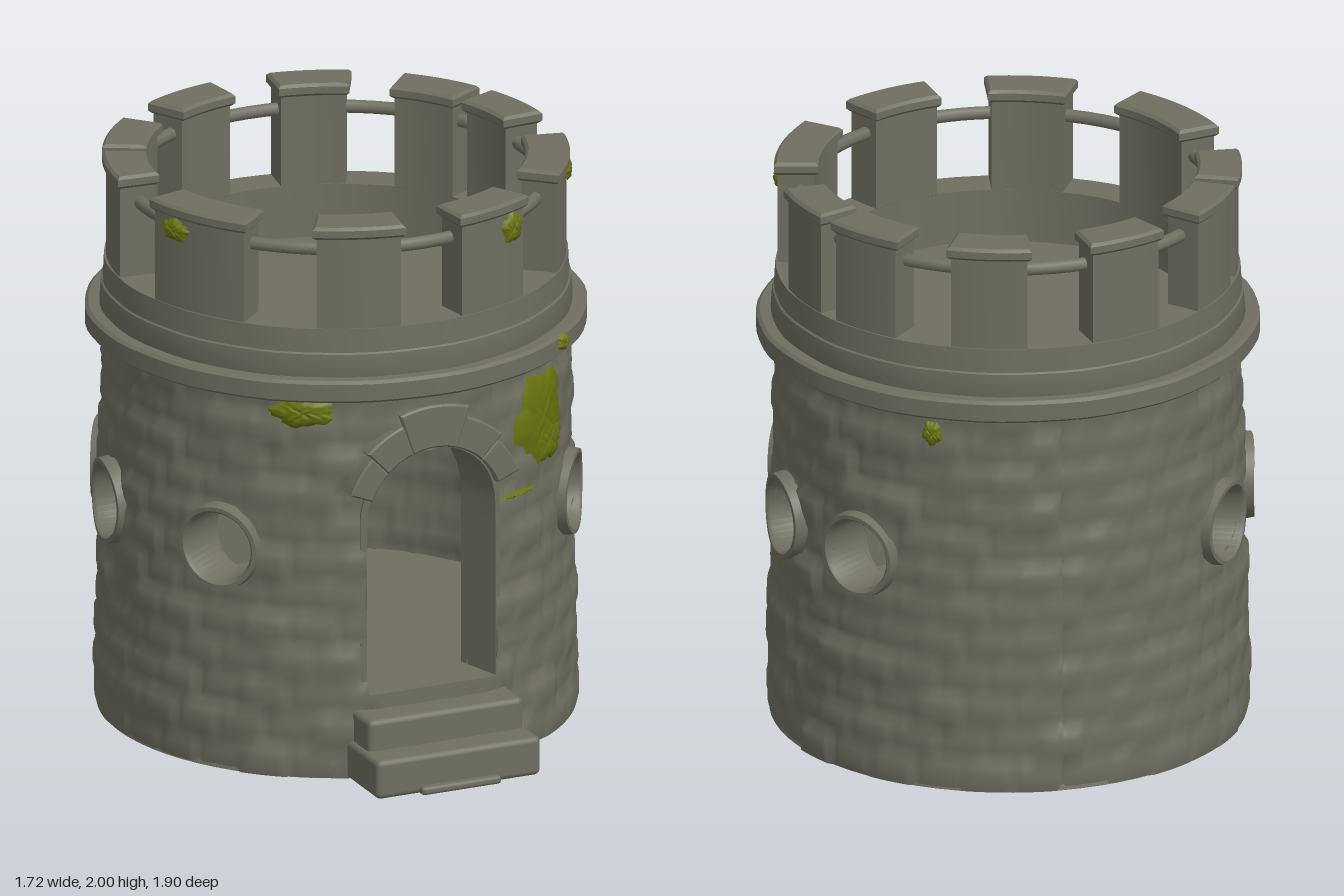
import * as THREE from 'three';
import { toCreasedNormals } from 'three/addons/utils/BufferGeometryUtils.js';
import { RoundedBoxGeometry } from 'three/addons/geometries/RoundedBoxGeometry.js';

const stone = new THREE.MeshStandardMaterial({ color: 0x6f6e60, side: THREE.DoubleSide });
stone.name = 'stone';
const moss = new THREE.MeshStandardMaterial({ color: 0x69730f, side: THREE.DoubleSide });
moss.name = 'moss';

const rad = THREE.MathUtils.degToRad;
const R = 0.82, COLS = 240, ROWS = 46, WALL_TOP = 1.38;
const hash = (a, b) => { const s = Math.sin(a * 127.1 + b * 311.7) * 43758.5453; return s - Math.floor(s); };

// Openings, in unrolled wall coordinates (arc length, height)
const WINDOW_Y = 0.81, WINDOW_R = 0.125;
const windows = [54, 97, 128].flatMap(a => [a, -a]).map(a => rad(a) * R);
const DOOR_W = 0.248, DOOR_Y = 0.3, DOOR_SPRING = 0.925;

// Moves a point lying in an opening to that opening's edge
function snap(u, y) {
  for (const w of windows) {
    const du = u - w, dy = y - WINDOW_Y, d = Math.hypot(du, dy);
    if (d < WINDOW_R) {
      const k = WINDOW_R / (d || 1);
      return { u: w + du * k, y: WINDOW_Y + dy * k, inside: true };
    }
  }
  if (Math.abs(u) < DOOR_W && y > DOOR_Y - 0.001) {
    const dy = y - DOOR_SPRING, d = Math.hypot(u, dy);
    if (y < DOOR_Y + 0.001) return { u, y, inside: true };
    if (dy <= 0) return { u: Math.sign(u || 1) * DOOR_W, y, inside: true };
    if (d < DOOR_W) return { u: u * DOOR_W / d, y: DOOR_SPRING + dy * DOOR_W / d, inside: true };
  }
  return { u, y, inside: false };
}

// Point on the tower, flattened a little at the front
const onTower = (u, y, r) => [r * Math.sin(u / R), y, Math.min(r * Math.cos(u / R), 0.8)];

// Surface from a grid of points, with optional omitted cells
function gridSurface(nu, nv, point, skip = () => false) {
  const pos = [], idx = [];
  for (let j = 0; j <= nv; j++) for (let i = 0; i <= nu; i++) pos.push(...point(i, j));
  for (let j = 0; j < nv; j++) for (let i = 0; i < nu; i++) {
    if (skip(i, j)) continue;
    const a = j * (nu + 1) + i, b = a + 1, c = a + nu + 1, d = c + 1;
    idx.push(a, b, d, a, d, c);
  }
  const g = new THREE.BufferGeometry();
  g.setAttribute('position', new THREE.Float32BufferAttribute(pos, 3));
  g.setIndex(idx);
  g.computeVertexNormals();
  return g;
}

// Uneven stone courses, with shallow joints
function relief(i, j) {
  const course = Math.floor(j / 4), shift = (i % COLS) + (course % 2) * 4;
  const brick = Math.floor(shift / 8) % (COLS / 8);
  const joint = j % 4 === 0 || shift % 8 === 0;
  return (hash(brick, course) - 0.5) * 0.018 - (joint ? 0.008 : 0);
}

function wall(outer) {
  const at = (i, j) => snap((i / COLS * 2 - 1) * Math.PI * R, j / ROWS * WALL_TOP);
  const point = (i, j) => {
    const p = at(i, j);
    const r = outer ? 0.83 - 0.026 * p.y / WALL_TOP + relief(i, j) : 0.67 + relief(i, j) * 0.7;
    return onTower(outer ? p.u : -p.u, p.y, r);
  };
  return gridSurface(COLS, ROWS, point, (i, j) =>
    at(i, j).inside && at(i + 1, j).inside && at(i, j + 1).inside && at(i + 1, j + 1).inside);
}

// Lining that follows an opening's edge: profile rows are [offset, radius]
function lining(edge, count, profile) {
  const g = gridSurface(count, profile.length - 1, (i, j) => {
    const [u, y] = edge(i / count, profile[j][0]);
    return onTower(u, y, profile[j][1]);
  });
  return toCreasedNormals(g, 0.7);
}
const windowEdge = w => (t, k) => {
  const a = t * Math.PI * 2;
  return [w + (WINDOW_R + k) * Math.cos(a), WINDOW_Y + (WINDOW_R + k) * Math.sin(a)];
};
const doorEdge = (t, k) => {
  const r = DOOR_W + k;
  if (t < 0.2) return [r, DOOR_Y + (DOOR_SPRING - DOOR_Y) * t / 0.2];
  if (t > 0.8) return [-r, DOOR_Y + (DOOR_SPRING - DOOR_Y) * (1 - t) / 0.2];
  const a = (t - 0.2) / 0.6 * Math.PI;
  return [r * Math.cos(a), DOOR_SPRING + r * Math.sin(a)];
};

// Ring sector in the shape plane
function sector(r0, r1, a0, a1) {
  const s = new THREE.Shape();
  s.absarc(0, 0, r1, a0, a1, false);
  s.absarc(0, 0, r0, a1, a0, true);
  return s;
}
// Curved block standing on the tower, angles in degrees from the front
function arcBlock(r0, r1, y0, y1, a0, a1, bevel = 0.008) {
  const g = new THREE.ExtrudeGeometry(sector(r0 + bevel, r1 - bevel, rad(a0 - 90), rad(a1 - 90)), {
    depth: y1 - y0 - 2 * bevel, curveSegments: 6, bevelSize: bevel, bevelThickness: bevel, bevelSegments: 1,
  });
  g.rotateX(-Math.PI / 2).translate(0, y0 + bevel, 0);
  return toCreasedNormals(g, 0.6);
}

// Closed turned ring with a slightly worn outline
function turned(profile) {
  const g = new THREE.LatheGeometry(profile.map(p => new THREE.Vector2(...p)), 72);
  const p = g.attributes.position;
  for (let i = 0; i < p.count; i++) {
    const a = Math.atan2(p.getX(i), p.getZ(i)), k = 1 + 0.004 * Math.sin(a * 11) * Math.cos(a * 5);
    p.setXYZ(i, p.getX(i) * k, p.getY(i), p.getZ(i) * k);
  }
  return toCreasedNormals(g, 0.6);
}

// Ragged moss patch wrapped round the tower
function mossPatch(deg, y, rx, ry, r) {
  const g = new THREE.RingGeometry(0, 1, 36, 6), p = g.attributes.position;
  for (let i = 0; i < p.count; i++) {
    const px = p.getX(i), py = p.getY(i), d = Math.hypot(px, py), a = Math.atan2(py, px);
    const k = 1 + 0.1 * Math.sin(a * 5 + deg) + 0.07 * Math.sin(a * 13);
    const t = rad(deg) + px * rx * k / r;
    const rr = r + 0.018 * (1 - d ** 4) + 0.004 * Math.sin(px * 17) * Math.sin(py * 15);
    p.setXYZ(i, rr * Math.sin(t), y + py * ry * k, rr * Math.cos(t));
  }
  g.computeVertexNormals();
  return g;
}

export function createModel() {
  const model = new THREE.Group(), tower = new THREE.Group();
  tower.name = 'tower';
  tower.position.z = -0.085;
  model.add(tower);
  const add = (name, geometry, material = stone, parent = tower) => {
    const m = new THREE.Mesh(geometry, material);
    m.name = name;
    parent.add(m);
    return m;
  };

  // Hollow body
  add('outerWall', wall(true));
  add('innerWall', wall(false));
  add('base', new THREE.CylinderGeometry(0.815, 0.82, 0.02, 72)).position.y = 0.01;
  add('innerFloor', new THREE.CylinderGeometry(0.7, 0.7, 0.04, 64)).position.y = 0.28;
  add('roofDeck', new THREE.CylinderGeometry(0.7, 0.7, 0.05, 64)).position.y = 1.415;

  // Round windows
  for (const w of windows) {
    add('windowFrame', lining(windowEdge(w), 36,
      [[0, 0.66], [0, 0.835], [0.008, 0.845], [0.022, 0.845], [0.03, 0.8]]));
  }

  // Doorway, its threshold and arch stones
  add('doorJamb', lining(doorEdge, 50, [[0, 0.64], [0, 0.815], [0.022, 0.815], [0.026, 0.76]]));
  add('threshold', new THREE.BoxGeometry(0.5, 0.06, 0.2)).position.set(0, 0.27, 0.69);
  for (const [a0, a1, r1] of [[22, 45, 0.335], [47, 70, 0.36], [72, 108, 0.4], [110, 133, 0.36], [135, 158, 0.335]]) {
    const g = new THREE.ExtrudeGeometry(sector(0.258, r1, rad(a0), rad(a1)),
      { depth: 0.12, curveSegments: 5, bevelSize: 0.006, bevelThickness: 0.006, bevelSegments: 1 });
    add('archStone', g.translate(0, DOOR_SPRING, 0.69));
  }

  // Arched door on the far inner wall, with its handle
  const panel = new THREE.Shape();
  panel.moveTo(-0.22, 0.3).lineTo(0.22, 0.3).lineTo(0.22, 0.73);
  panel.absarc(0, 0.73, 0.22, 0, Math.PI, false);
  panel.closePath();
  add('innerDoor', new THREE.ExtrudeGeometry(panel, { depth: 0.06, bevelEnabled: false, curveSegments: 16 }))
    .position.z = -0.66;
  const lever = new THREE.CatmullRomCurve3([[-0.19, 0.57, -0.61], [-0.19, 0.58, -0.56], [-0.14, 0.59, -0.55], [-0.08, 0.61, -0.55]]
    .map(p => new THREE.Vector3(...p)));
  add('doorHandle', new THREE.TubeGeometry(lever, 12, 0.014, 8));

  // Cornice and parapet
  add('cornice', turned([[0.76, 1.38], [0.85, 1.38], [0.862, 1.39], [0.862, 1.45], [0.85, 1.46], [0.76, 1.46]]));
  add('parapet', turned([[0.66, 1.4], [0.79, 1.4], [0.812, 1.46], [0.806, 1.54], [0.8, 1.545], [0.796, 1.63],
    [0.665, 1.63], [0.66, 1.4]]));

  // Battlements, mirrored left and right
  for (const [a0, a1] of [[9, 29], [49, 76], [95, 112], [119, 137], [153, 171]]) {
    for (const s of [1, -1]) {
      const [b, c] = s > 0 ? [a0, a1] : [-a1, -a0];
      add('merlon', arcBlock(0.665, 0.79, 1.62, 1.97, b, c));
      add('merlonCap', arcBlock(0.65, 0.803, 1.955, 2, b - 0.9, c + 0.9, 0.01));
    }
  }
  const rail = add('rail', new THREE.TorusGeometry(0.715, 0.024, 8, 72));
  rail.rotation.x = Math.PI / 2;
  rail.position.y = 1.895;

  // Moss
  for (const m of [[35, 1.18, 0.15, 0.16, 0.812], [38, 1.08, 0.1, 0.08, 0.814], [-33, 1.33, 0.11, 0.055, 0.81],
    [40, 1.43, 0.035, 0.03, 0.858], [148, 1.31, 0.035, 0.045, 0.81], [25, 1.9, 0.05, 0.055, 0.79],
    [69, 1.915, 0.07, 0.035, 0.79], [-69, 1.91, 0.06, 0.04, 0.79], [25, 0.937, 0.085, 0.008, 0.818]]) {
    add('mossPatch', mossPatch(...m), moss);
  }

  // Front steps
  for (const [w, h, z] of [[0.3, 0.03, 0.95], [0.62, 0.14, 0.925], [0.585, 0.25, 0.82]]) {
    add('step', new RoundedBoxGeometry(w, h, z - 0.5, 2, Math.min(0.02, h * 0.4)), stone, model)
      .position.set(0, h / 2, (z + 0.5) / 2);
  }
  return model;
}
